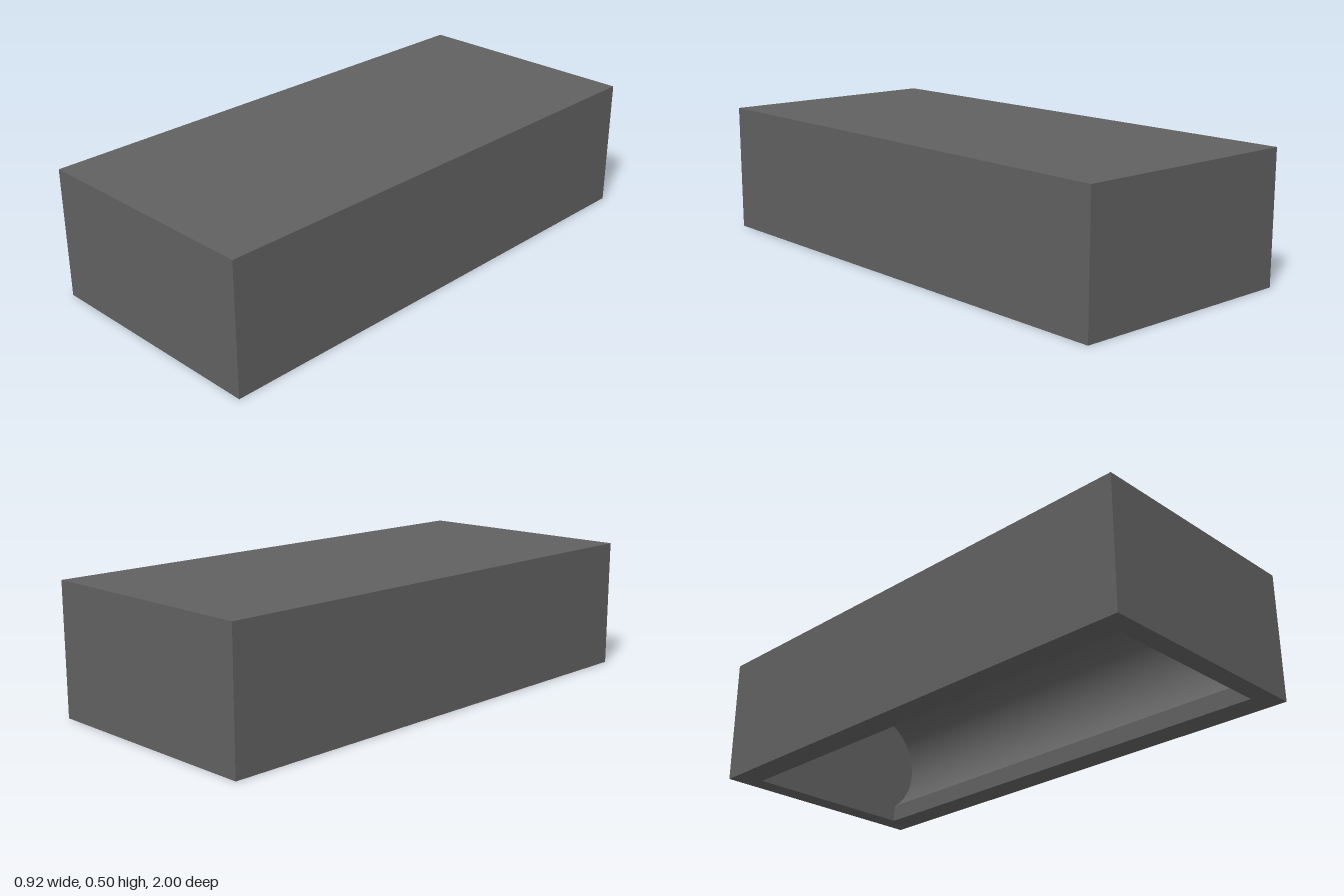
import * as THREE from 'three';
import { toCreasedNormals } from 'three/addons/utils/BufferGeometryUtils.js';

const W = 0.458, H = 0.5, L = 1;      // half width, height, half length
const SLOT = 0.352, END = 0.075;      // half width of the opening, end wall thickness
const CX = 0.229, CY = 0.25, R = 0.22; // twin barrel centres and radius

export function createModel() {
  const model = new THREE.Group();
  model.name = 'twinBarrelHolder';
  const grey = new THREE.MeshStandardMaterial({ color: 0x606060 });
  grey.name = 'darkGrey';

  // Housing section: a block with two round barrels opened from below by a slot
  const a = Math.acos((SLOT - CX) / R);
  const section = new THREE.Shape();
  section.moveTo(-W, 0);
  section.lineTo(-SLOT, 0);
  section.absarc(-CX, CY, R, Math.PI + a, 0, true);
  section.absarc(CX, CY, R, Math.PI, -a, true);
  section.lineTo(SLOT, 0);
  section.lineTo(W, 0);
  section.lineTo(W, H);
  section.lineTo(-W, H);
  section.closePath();

  const length = 2 * (L - END);
  const body = new THREE.ExtrudeGeometry(section, { depth: length, bevelEnabled: false, curveSegments: 40 });
  body.translate(0, 0, -length / 2);
  const housing = new THREE.Mesh(toCreasedNormals(body, 0.4), grey);
  housing.name = 'housing';
  model.add(housing);

  // End walls
  for (const side of [1, -1]) {
    const wall = new THREE.Mesh(new THREE.BoxGeometry(2 * W, H, END), grey);
    wall.position.set(0, H / 2, side * (L - END / 2));
    wall.name = side > 0 ? 'frontWall' : 'backWall';
    model.add(wall);
  }
  return model;
}
